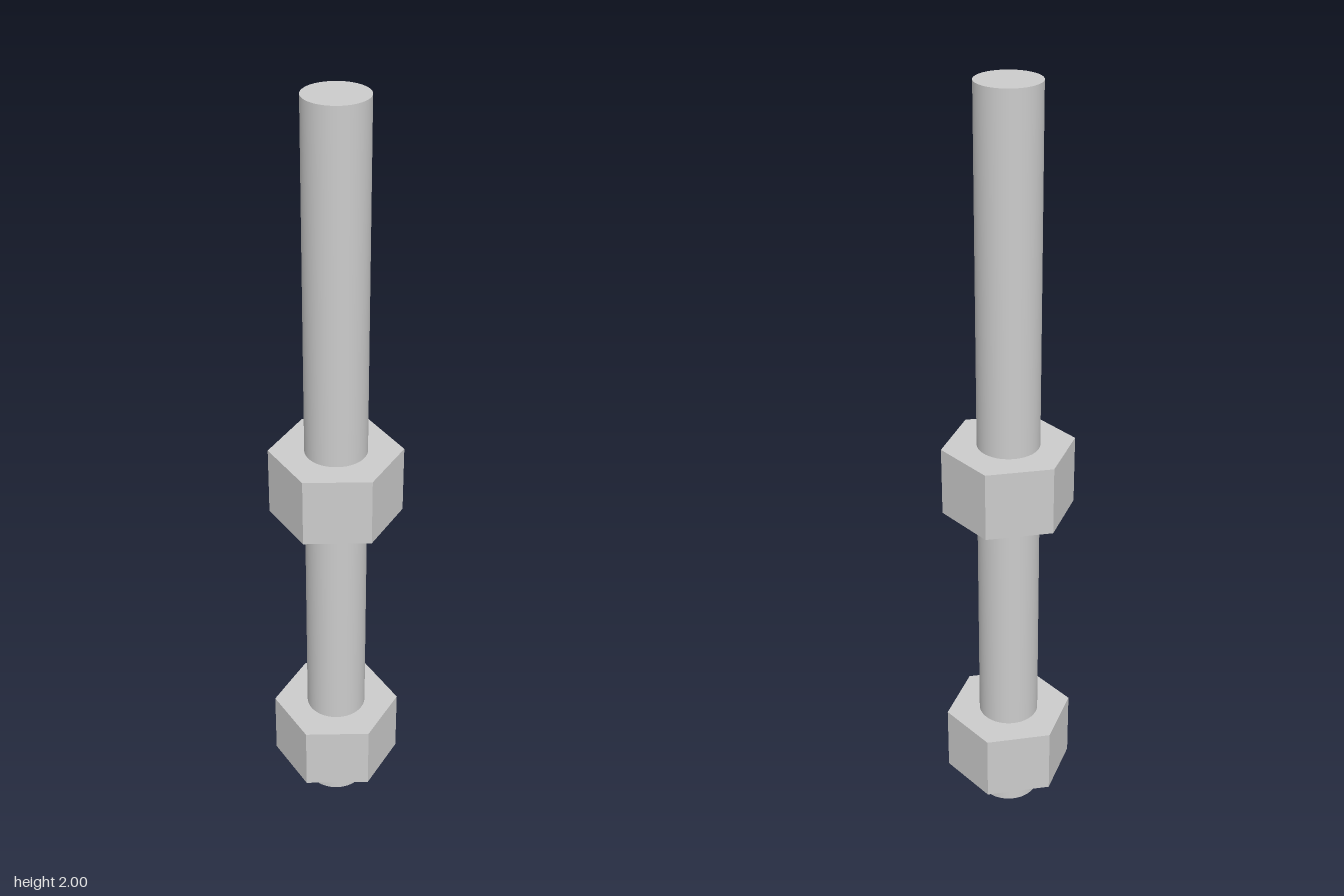
import * as THREE from 'three';

export function createModel() {
  const group = new THREE.Group();
  group.name = 'boltWithNuts';
  const smooth = new THREE.MeshStandardMaterial({ color: 0xcccccc });
  const faceted = new THREE.MeshStandardMaterial({ color: 0xcccccc, flatShading: true });

  // Upright cylinder or prism resting at height y0
  const addPrism = (name, radius, y0, y1, sides, material) => {
    const mesh = new THREE.Mesh(new THREE.CylinderGeometry(radius, radius, y1 - y0, sides), material);
    mesh.name = name;
    mesh.position.y = (y0 + y1) / 2;
    group.add(mesh);
  };

  // Plain round rod
  addPrism('rod', 0.0795, 0, 2, 64, smooth);

  // Two hexagonal nuts, corners pointing front and back
  addPrism('lowerNut', 0.17, 0.088, 0.27, 6, faceted);
  addPrism('upperNut', 0.17, 0.911, 1.093, 6, faceted);

  return group;
}
